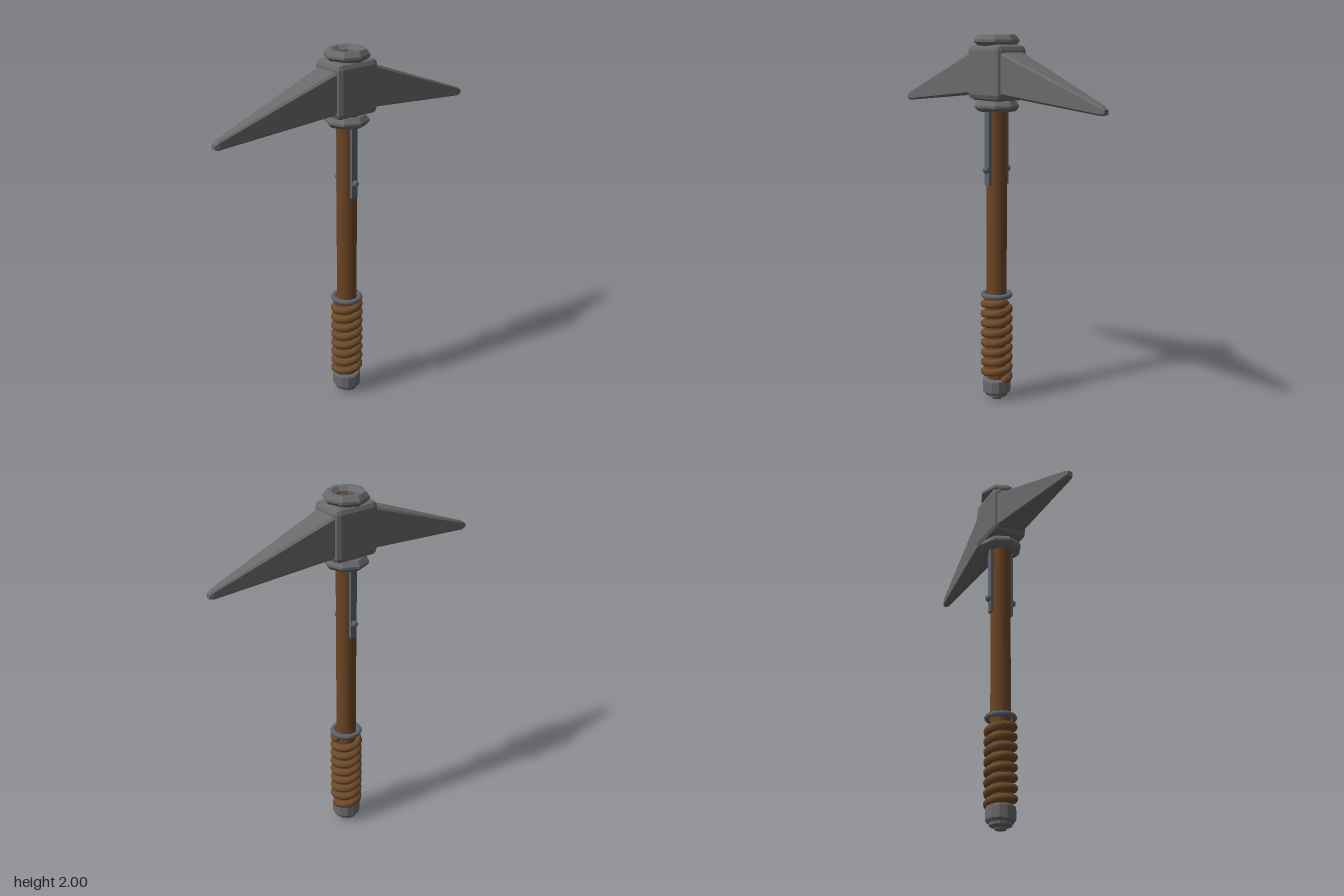
import * as THREE from 'three';
import { RoundedBoxGeometry } from 'three/addons/geometries/RoundedBoxGeometry.js';

const mat = (name, color) => {
  const m = new THREE.MeshStandardMaterial({ color });
  m.name = name;
  return m;
};

// Gives each face its own normal
function faceted(geo) {
  const g = geo.index ? geo.toNonIndexed() : geo;
  g.computeVertexNormals();
  return g;
}

function lathe(profile, sides) {
  return faceted(new THREE.LatheGeometry(profile.map(([r, y]) => new THREE.Vector2(r, y)), sides));
}

// Tapered spike along +x, from chamfered rectangles [x, bottom, top, halfDepth, chamfer]
function spikeGeometry(sections) {
  const pos = [], index = [], n = 8;
  for (const [x, lo, hi, d, c] of sections) {
    const ring = [
      [hi, d - c], [hi - c, d], [lo + c, d], [lo, d - c],
      [lo, c - d], [lo + c, -d], [hi - c, -d], [hi, c - d],
    ];
    for (const [y, z] of ring) pos.push(x, y, z);
  }
  for (let i = 0; i < sections.length - 1; i++) {
    for (let j = 0; j < n; j++) {
      const a = i * n + j, b = i * n + (j + 1) % n;
      index.push(a, b, b + n, a, b + n, a + n);
    }
  }
  const last = (sections.length - 1) * n;
  for (let j = 1; j < n - 1; j++) index.push(last, last + j, last + j + 1);
  const g = new THREE.BufferGeometry();
  g.setAttribute('position', new THREE.Float32BufferAttribute(pos, 3));
  g.setIndex(index);
  return faceted(g);
}

// Helical grip cord
class Helix extends THREE.Curve {
  getPoint(t, target = new THREE.Vector3()) {
    const a = Math.PI / 2 + t * 8 * Math.PI * 2;
    return target.set(0.068 * Math.sin(a), 0.122 + 0.443 * t, 0.068 * Math.cos(a));
  }
}

export function createModel() {
  const wood = mat('wood', 0x6b4423);
  const cord = mat('leather cord', 0x6e4a2a);
  const iron = mat('iron', 0x6a6a6c);
  const steel = mat('blue steel', 0x5c646c);

  const model = new THREE.Group();
  model.name = 'pickaxe';
  const add = (name, geo, material, parent = model) => {
    const m = new THREE.Mesh(geo, material);
    m.name = name;
    parent.add(m);
    return m;
  };

  // Handle
  add('handle', new THREE.CylinderGeometry(0.055, 0.055, 1.87, 16), wood).position.y = 1.03;

  // Pommel cap
  add('pommel', lathe([
    [0, 0.01], [0.035, 0.01], [0.06, 0.02], [0.062, 0.035], [0.07, 0.036],
    [0.079, 0.048], [0.079, 0.112], [0.073, 0.122], [0.05, 0.122],
  ], 12), iron);
  add('pommelStud', new THREE.CylinderGeometry(0.04, 0.03, 0.02, 8), iron).position.y = 0.01;

  // Grip wrap with its end caps and upper ring
  const helix = new Helix();
  add('gripWrap', new THREE.TubeGeometry(helix, 192, 0.022, 8), cord);
  for (const t of [0, 1]) {
    add('gripEnd', new THREE.SphereGeometry(0.0215, 8, 6), cord).position.copy(helix.getPoint(t));
  }
  const ring = add('gripRing', new THREE.TorusGeometry(0.074, 0.015, 6, 16), steel);
  ring.rotation.x = Math.PI / 2;
  ring.position.y = 0.598;

  // Head block
  add('headBlock', faceted(new RoundedBoxGeometry(0.26, 0.29, 0.204, 1, 0.03)), iron).position.y = 1.805;

  // Collars above and below the head
  const collar = lathe([
    [0.056, 0], [0.1, 0], [0.119, 0.02], [0.119, 0.032], [0.1, 0.056],
    [0.078, 0.056], [0.056, 0.035], [0.056, 0],
  ], 8);
  add('lowerCollar', collar, iron).position.y = 1.602;
  add('upperCollar', collar, iron).position.y = 1.944;

  // Two mirrored spikes
  const spike = spikeGeometry([
    [0.11, 1.69, 1.917, 0.083, 0.012],
    [0.775, 1.624, 1.67, 0.022, 0.008],
    [0.798, 1.628, 1.655, 0.014, 0.006],
  ]);
  add('leftSpike', spike, iron);
  add('rightSpike', spike, iron).rotation.y = Math.PI;

  // Riveted straps on front and back
  for (const [side, turn] of [['front', 0], ['back', Math.PI]]) {
    const strap = new THREE.Group();
    strap.name = side + 'Strap';
    strap.rotation.y = turn;
    add('strapBar', new THREE.BoxGeometry(0.036, 0.42, 0.026), steel, strap).position.set(0, 1.42, 0.056);
    add('rivet', new THREE.SphereGeometry(0.02, 8, 6), steel, strap).position.set(0, 1.292, 0.073);
    model.add(strap);
  }
  return model;
}
